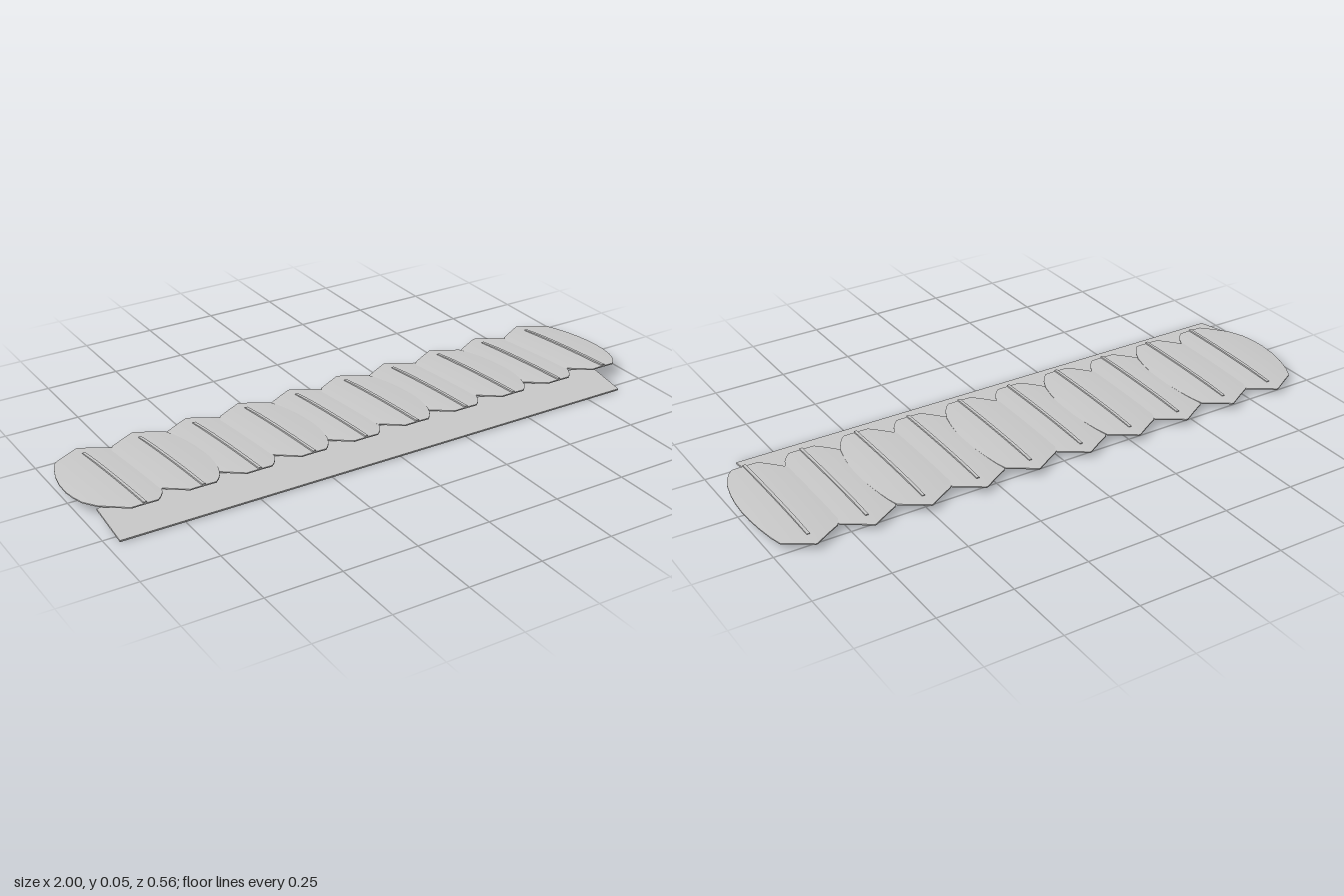
import * as THREE from 'three';

const lightGrey = new THREE.MeshStandardMaterial({ color: 0xcacaca });
lightGrey.name = 'light grey';

// Height of the gently arched row: high at the front, low at the back
const archHeight = (z) => 0.0355 + 0.052 * z - 0.08 * z * z;

// Leaf cross-sections from the back tip to the front: [z, left edge x, right edge x]
const rows = [
  [-0.27, -0.003, 0.003], [-0.243, -0.05, 0.045], [-0.216, -0.098, 0.088],
  [-0.18, -0.118, 0.098], [-0.125, -0.138, 0.107], [-0.07, -0.15, 0.112],
  [-0.015, -0.155, 0.113], [0.03, -0.152, 0.11], [0.075, -0.144, 0.103],
  [0.125, -0.118, 0.09], [0.16, -0.083, 0.073], [0.18, -0.062, 0.058], [0.195, -0.045, 0.042],
];

// Move every vertex by a rule, skew it slightly and lay it along the arch
function shapeVertices(geometry, rule) {
  const p = geometry.attributes.position;
  const v = new THREE.Vector3();
  for (let i = 0; i < p.count; i++) {
    rule(v.fromBufferAttribute(p, i));
    p.setXYZ(i, v.x + 0.035 * v.z, v.y + archHeight(v.z), v.z);
  }
  geometry.computeVertexNormals();
  return geometry;
}

// Thin solid leaf, its sides drooping from the spine
function leafGeometry() {
  const steps = rows.length - 1;
  return shapeVertices(new THREE.BoxGeometry(1, 0.004, 1, 10, 1, steps), (v) => {
    const [z, left, right] = rows[Math.round((v.z + 0.5) * steps)];
    const x = THREE.MathUtils.lerp(left, right, v.x + 0.5);
    v.set(x, v.y + 0.002 - 0.32 * x * x, z);
  });
}

// Slender midrib, settling onto the leaf towards the back
function ribGeometry() {
  return shapeVertices(new THREE.BoxGeometry(0.01, 0.006, 0.415, 1, 1, 10), (v) => {
    v.z -= 0.0125;
    v.y += 0.006 - 0.03 * Math.max(0, -0.14 - v.z);
  });
}

export function createModel() {
  const model = new THREE.Group();
  model.name = 'leafRow';

  // Ten overlapping leaves, every second one slightly raised
  const leaf = leafGeometry();
  const rib = ribGeometry();
  for (let i = 0; i < 10; i++) {
    const group = new THREE.Group();
    group.name = `leaf${i + 1}`;
    const blade = new THREE.Mesh(leaf, lightGrey);
    blade.name = 'blade';
    const midrib = new THREE.Mesh(rib, lightGrey);
    midrib.name = 'midrib';
    group.add(blade, midrib);
    group.position.set(-0.842 + 0.192 * i, i % 2 ? 0.002 : 0, -0.0012 * i);
    model.add(group);
  }

  // Sloping flat strip along the front
  const strip = new THREE.Mesh(new THREE.BoxGeometry(1.84, 0.006, 0.161), lightGrey);
  strip.name = 'frontStrip';
  strip.rotation.x = 0.165;
  strip.position.set(-0.04, 0.0165, 0.204);
  model.add(strip);

  return model;
}
